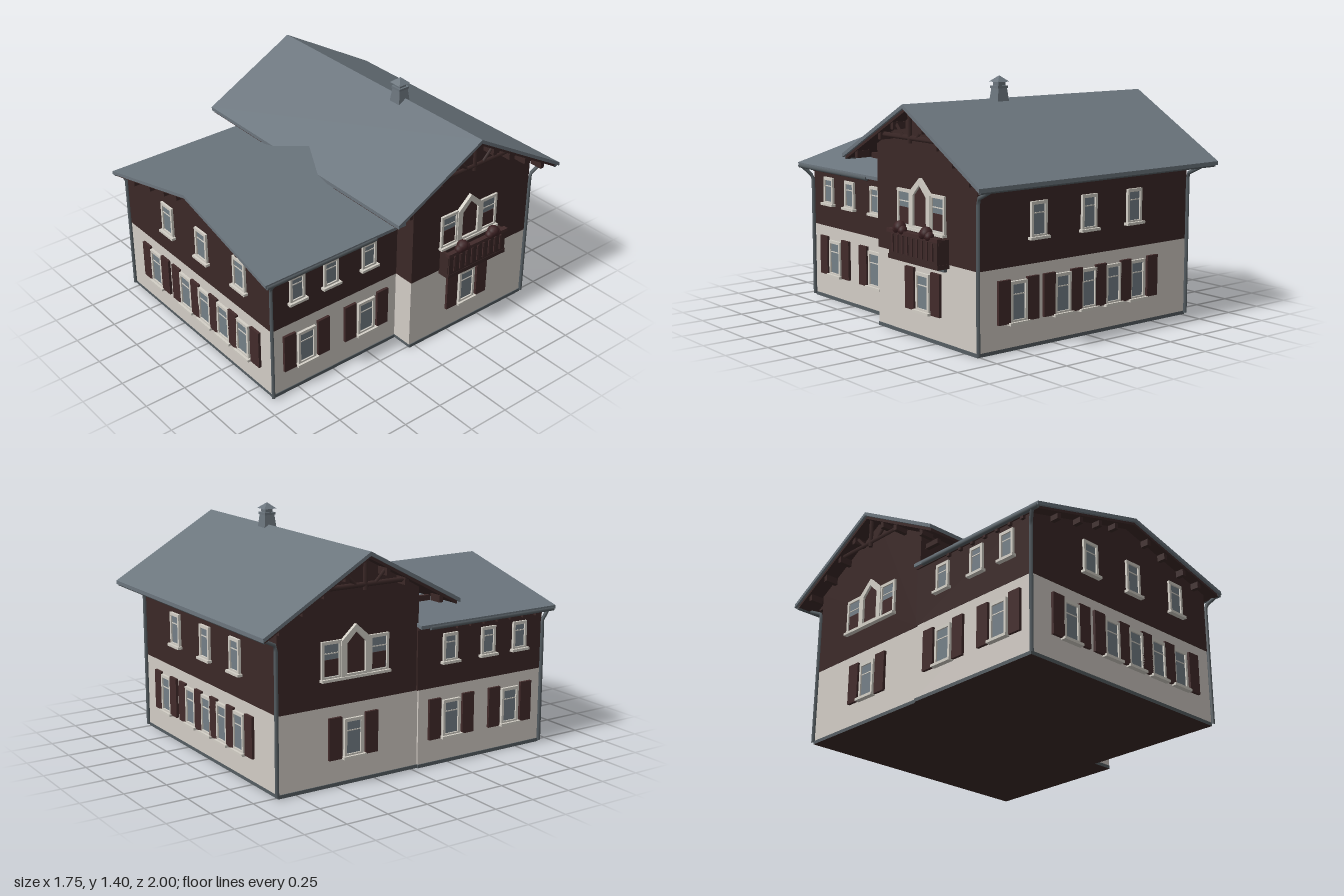
import * as THREE from 'three';

const mat = (name, color, side = THREE.FrontSide) => {
  const m = new THREE.MeshStandardMaterial({ color, side });
  m.name = name;
  return m;
};

export function createModel() {
  const slate = mat('slate', 0x6b757d);
  const brown = mat('darkTimber', 0x3b2827);
  const cream = mat('creamPlaster', 0xd2ccc5);
  const trim = mat('windowTrim', 0xd3cfc6);
  const glass = mat('glass', 0x747f87);
  const metal = mat('gutterMetal', 0x555d62);
  const shutterMat = mat('shutterBrown', 0x422b2b);
  const plant = mat('plantRed', 0x3d2224);

  const model = new THREE.Group();
  model.name = 'house';

  const add = (parent, name, geo, material, x = 0, y = 0, z = 0) => {
    const m = new THREE.Mesh(geo, material);
    m.name = name;
    m.position.set(x, y, z);
    parent.add(m);
    return m;
  };
  const box = (parent, name, material, w, h, d, x, y, z) =>
    add(parent, name, new THREE.BoxGeometry(w, h, d), material, x, y, z);
  const shapeOf = pts => new THREE.Shape(pts.map(p => new THREE.Vector2(...p)));
  const extrude = (pts, depth, hole) => {
    const s = shapeOf(pts);
    if (hole) s.holes.push(new THREE.Path(hole.map(p => new THREE.Vector2(...p))));
    return new THREE.ExtrudeGeometry(s, { depth, bevelEnabled: false });
  };
  // Profile given as [z, y] and run along x, or as [x, y] and run along z
  const alongX = (pts, x0, x1) => extrude(pts, x1 - x0).rotateY(-Math.PI / 2).translate(x1, 0, 0);
  const alongZ = (pts, z0, z1) => extrude(pts, z1 - z0).translate(0, 0, z0);
  // Round or square bar between two points
  const bar = (parent, name, material, a, b, r, sides = 8) => {
    const p = new THREE.Vector3(...a), q = new THREE.Vector3(...b), d = q.clone().sub(p);
    const m = add(parent, name, new THREE.CylinderGeometry(r, r, d.length(), sides), material);
    m.position.copy(p).add(q).multiplyScalar(0.5);
    m.quaternion.setFromUnitVectors(new THREE.Vector3(0, 1, 0), d.normalize());
    return m;
  };
  const chevron = (top, drop, th) => [
    ...top.map(([u, v]) => [u, v - drop]),
    ...top.map(([u, v]) => [u, v - drop - th]).reverse()];
  const yAt = ([a, r, b], u) => {
    const e = (u - r[0]) * (a[0] - r[0]) > 0 ? a : b;
    return r[1] + (e[1] - r[1]) * (u - r[0]) / (e[0] - r[0]);
  };

  // Plinths and plaster ground floor
  const blocks = [['main', -0.765, 0.76, -0.86, 0.04], ['wing', -0.775, 0.63, 0.04, 0.92]];
  for (const [n, x0, x1, z0, z1] of blocks) {
    const x = (x0 + x1) / 2, z = (z0 + z1) / 2, w = x1 - x0, d = z1 - z0;
    add(model, n + 'Plinth', new THREE.BoxGeometry(w + 0.01, 0.02, d),
      [metal, metal, metal, brown, metal, metal], x, 0.01, z);
    box(model, n + 'GroundFloor', cream, w, 0.43, d, x, 0.235, z);
  }

  // Timber upper floors with gables
  const mainTop = [[0.24, 0.965], [-0.35, 1.28], [-1.0, 0.905]];
  const wingTop = [[-0.805, 0.82], [-0.035, 1.02], [0.7, 0.825]];
  add(model, 'mainUpperFloor', alongX([[0.04, 0.45], [0.04, yAt(mainTop, 0.04) - 0.03], [-0.35, 1.25],
    [-0.86, yAt(mainTop, -0.86) - 0.03], [-0.86, 0.45]], -0.767, 0.762), brown);
  add(model, 'wingUpperFloor', alongZ([[-0.777, 0.45], [0.632, 0.45], [0.632, yAt(wingTop, 0.632) - 0.025],
    [-0.035, 0.995], [-0.777, yAt(wingTop, -0.777) - 0.025]], 0.03, 0.922), brown);

  // Roof coverings over timber soffits
  add(model, 'mainRoof', alongX(chevron(mainTop, 0, 0.022), -0.875, 0.865), slate);
  add(model, 'mainSoffit', alongX(chevron([[0.23, 0.97], [-0.35, 1.28], [-0.985, 0.913]], 0.021, 0.018), -0.86, 0.85), brown);
  add(model, 'wingRoof', alongZ(chevron(wingTop, 0, 0.02), 0.03, 1.0), slate);
  add(model, 'wingSoffit', alongZ(chevron([[-0.79, 0.824], [-0.035, 1.02], [0.685, 0.829]], 0.019, 0.016), 0.03, 0.985), brown);

  // Purlin ends beneath the wing gable, rafter tails along the eaves
  for (const x of [-0.62, -0.45, -0.3, -0.17, 0.1, 0.24, 0.4, 0.53])
    box(model, 'purlinEnd', brown, 0.025, 0.04, 0.055, x, yAt(wingTop, x) - 0.05, 0.945);
  for (let i = 0; i < 7; i++) {
    const z = 0.3 + i * 0.095;
    box(model, 'wingRafterTail', brown, 0.04, 0.025, 0.02, 0.65, 0.795, z);
    box(model, 'wingRafterTail', brown, 0.02, 0.025, 0.02, -0.785, 0.785, z);
  }
  for (let i = 0; i < 10; i++) {
    const x = -0.72 + i * 0.16;
    box(model, 'mainRafterTail', brown, 0.025, 0.03, 0.09, x, 0.905, -0.9);
    if (x < -0.6 || x > 0.65) box(model, 'mainRafterTail', brown, 0.025, 0.03, 0.1, x, 0.955, 0.09);
  }

  // Open trusses and purlins on both main gables
  for (const [wall, s] of [[0.762, 1], [-0.767, -1]]) {
    const truss = new THREE.Group();
    truss.name = 'gableTruss';
    model.add(truss);
    const x = wall + s * 0.055;
    bar(truss, 'collarBeam', brown, [x, 1.1, -0.1], [x, 1.1, -0.61], 0.014, 4);
    bar(truss, 'kingPost', brown, [x, 1.07, -0.35], [x, 1.24, -0.35], 0.015, 4);
    for (const k of [-1, 1])
      bar(truss, 'brace', brown, [x, 1.1, -0.35 + k * 0.06], [x, 1.17, -0.35 + k * 0.13], 0.011, 4);
    for (const z of [0.13, -0.1, -0.22, -0.48, -0.61, -0.74, -0.88])
      box(truss, 'purlin', brown, 0.08, 0.04, 0.025, wall + s * 0.04, yAt(mainTop, z) - 0.055, z);
  }

  // Placement of fittings on the walls; u is x on front and back, z on the sides
  const place = (g, face, u, y) => {
    const onMain = u < 0.04;
    if (face === 'front') g.position.set(u, y, 0.92);
    if (face === 'back') { g.position.set(u, y, -0.86); g.rotation.y = Math.PI; }
    if (face === 'right') { g.position.set(onMain ? 0.76 : 0.63, y, u); g.rotation.y = Math.PI / 2; }
    if (face === 'left') { g.position.set(onMain ? -0.765 : -0.775, y, u); g.rotation.y = -Math.PI / 2; }
    model.add(g);
    return g;
  };
  const rect = (w, h, y = 0) => [[-w / 2, y - h / 2], [w / 2, y - h / 2], [w / 2, y + h / 2], [-w / 2, y + h / 2]];
  const windowUnit = (name, w, h, sill = true) => {
    const g = new THREE.Group();
    g.name = name;
    add(g, 'frame', extrude(rect(w, h), 0.016, rect(w - 0.03, h - 0.035)), trim);
    box(g, 'pane', glass, w - 0.02, h - 0.02, 0.007, 0, 0, 0.0035);
    box(g, 'glazingBar', trim, w - 0.02, 0.006, 0.009, 0, h * 0.18, 0.0055);
    if (sill) box(g, 'sill', trim, w + 0.025, 0.015, 0.03, 0, -h / 2, 0.015);
    return g;
  };
  const shutter = (face, u) => {
    const g = new THREE.Group();
    g.name = 'shutter';
    box(g, 'panel', shutterMat, 0.08, 0.235, 0.016, 0, 0, 0.008);
    place(g, face, u, 0.27);
  };

  // Upper windows
  for (const x of [-0.34, 0, 0.36]) {
    place(windowUnit('upperWindow', 0.11, 0.195), 'front', x, 0.685);
    place(windowUnit('upperWindow', 0.11, 0.195), 'back', x, 0.685);
  }
  for (const z of [0.75, 0.52, 0.25]) for (const f of ['left', 'right'])
    place(windowUnit('upperWindow', 0.1, 0.165), f, z, 0.67);

  // Ground-floor windows with shutters between them
  for (const [face, s] of [['front', 1], ['back', -1]]) {
    for (const x of [-0.497, -0.188, 0, 0.185, 0.37])
      place(windowUnit('lowerWindow', 0.115, 0.225), face, s * x, 0.263);
    for (const x of [-0.595, -0.4, -0.285, -0.09, 0.09, 0.28, 0.487]) shutter(face, s * x);
  }
  for (const f of ['left', 'right']) for (const z of [0.69, 0.265, -0.39]) {
    place(windowUnit('lowerWindow', 0.12, 0.215), f, z, 0.262);
    for (const k of [-1, 1]) shutter(f, z + k * 0.117);
  }

  // Three-light gable windows with a pointed middle light
  const pointed = (w, h, peak) => [[-w / 2, 0], [w / 2, 0], [w / 2, h], [0, peak], [-w / 2, h]];
  for (const f of ['left', 'right']) {
    const g = place(new THREE.Group(), f, -0.38, 0.6);
    g.name = 'gableWindow';
    add(g, 'pointedFrame', extrude(pointed(0.19, 0.2, 0.285), 0.022,
      pointed(0.12, 0.185, 0.245).map(([x, y]) => [x, Math.max(y, 0.02)])), trim);
    add(g, 'pointedPanel', extrude(pointed(0.13, 0.19, 0.25), 0.008), shutterMat);
    for (const k of [-1, 1]) {
      const side = windowUnit('sideLight', 0.125, 0.21, false);
      side.position.set(k * 0.152, 0.105, 0);
      g.add(side);
      box(side, 'lowerPanel', shutterMat, 0.09, 0.09, 0.009, 0, -0.04, 0.0055);
    }
    box(g, 'sill', trim, 0.44, 0.015, 0.03, 0, 0, 0.015);
  }

  // Balcony with flower bushes
  const balcony = place(new THREE.Group(), 'right', -0.395, 0.43);
  balcony.name = 'balcony';
  box(balcony, 'floor', brown, 0.45, 0.025, 0.08, 0, 0.012, 0.04);
  box(balcony, 'parapet', brown, 0.44, 0.14, 0.016, 0, 0.085, 0.07);
  box(balcony, 'rail', shutterMat, 0.46, 0.02, 0.03, 0, 0.155, 0.07);
  for (const k of [-1, 1]) box(balcony, 'endPanel', brown, 0.016, 0.14, 0.07, k * 0.215, 0.085, 0.035);
  for (let i = 0; i < 9; i++) box(balcony, 'baluster', shutterMat, 0.014, 0.1, 0.008, -0.18 + i * 0.045, 0.09, 0.081);
  box(balcony, 'groundStrip', metal, 0.4, 0.02, 0.02, 0, -0.012, 0.01);
  for (const k of [-1, 1]) for (const [dx, dy, r] of [[0, 0.185, 0.035], [0.025, 0.17, 0.027], [-0.025, 0.172, 0.027]])
    add(balcony, 'flowerBush', new THREE.IcosahedronGeometry(r, 1), plant, k * 0.12 + dx, dy, 0.075);

  // Chimney with neck and pyramid cap
  const chimney = new THREE.Group();
  chimney.name = 'chimney';
  chimney.position.set(0.2, 0, -0.34);
  model.add(chimney);
  for (const [n, rt, rb, y0, y1] of [['stack', 0.043, 0.062, 1.22, 1.34], ['collar', 0.05, 0.05, 1.335, 1.348],
    ['neck', 0.034, 0.034, 1.348, 1.372], ['cap', 0.003, 0.058, 1.37, 1.403]])
    add(chimney, n, new THREE.CylinderGeometry(rt, rb, y1 - y0, 4).rotateY(Math.PI / 4).toNonIndexed(), slate, 0, (y0 + y1) / 2, 0)
      .geometry.computeVertexNormals();

  // Gutters and downpipes
  bar(model, 'wingGutter', metal, [0.695, 0.805, 0.25], [0.695, 0.805, 0.99], 0.013);
  bar(model, 'wingGutter', metal, [-0.798, 0.8, 0.1], [-0.798, 0.8, 0.99], 0.013);
  bar(model, 'backGutter', metal, [-0.86, 0.885, -0.985], [0.85, 0.885, -0.985], 0.013);
  bar(model, 'frontGutter', metal, [0.62, 0.945, 0.225], [0.85, 0.945, 0.225], 0.012);
  const downpipe = pts => {
    const path = new THREE.CurvePath();
    const v = pts.map(p => new THREE.Vector3(...p));
    for (let i = 1; i < v.length; i++) path.add(new THREE.LineCurve3(v[i - 1], v[i]));
    add(model, 'downpipe', new THREE.TubeGeometry(path, 24, 0.011, 6), metal);
  };
  downpipe([[0.695, 0.8, 0.95], [0.64, 0.74, 0.925], [0.64, 0.01, 0.925]]);
  downpipe([[-0.798, 0.8, 0.95], [-0.782, 0.74, 0.925], [-0.782, 0.01, 0.925]]);
  for (const x of [0.765, -0.77]) downpipe([[x, 0.885, -0.98], [x, 0.83, -0.867], [x, 0.01, -0.867]]);
  return model;
}
